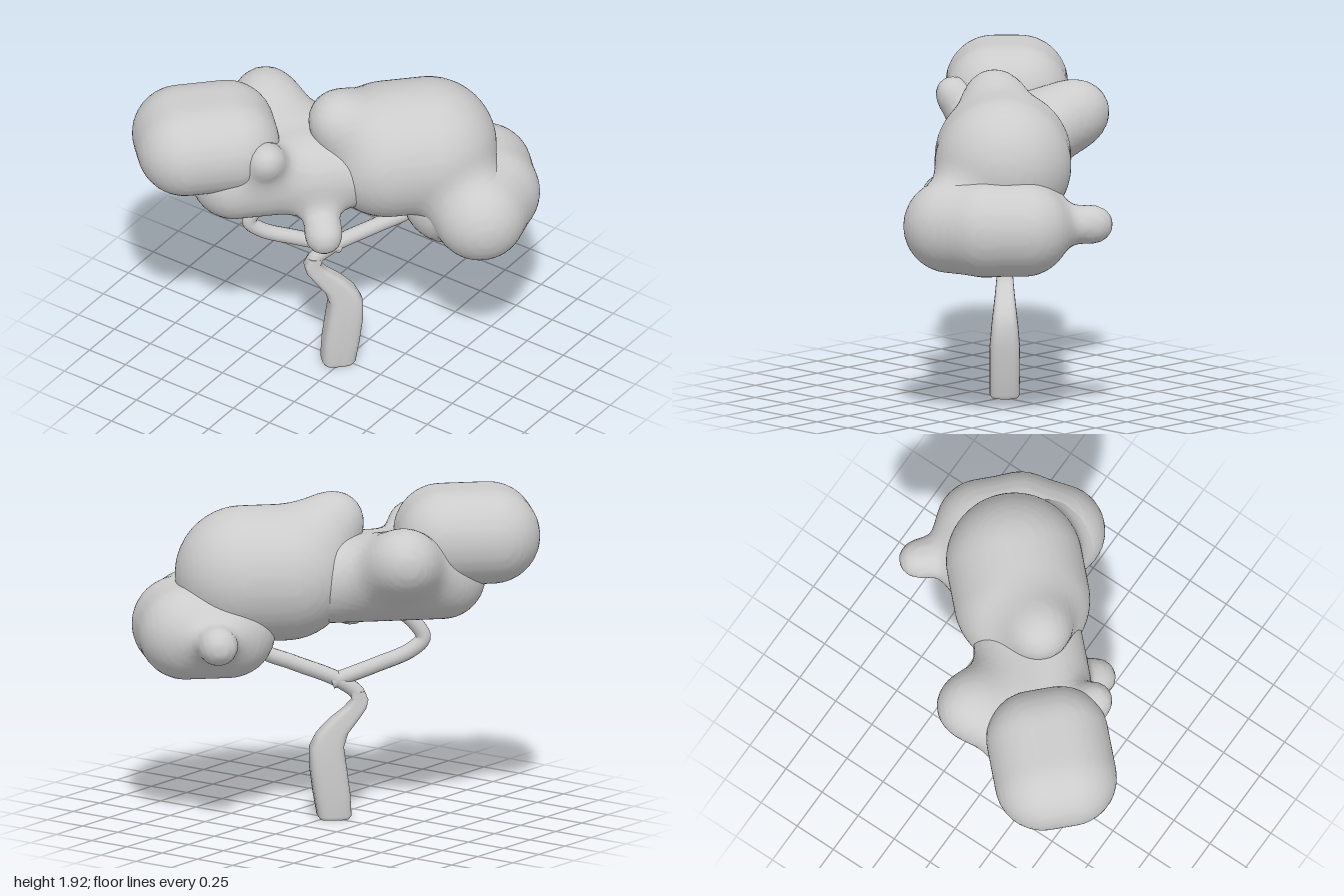
import * as THREE from 'three';

const material = new THREE.MeshStandardMaterial({ color: 0xcccccc });
const CELL = 0.028;

// Distance to a flat rounded slab: centre p, half sizes hu/hv, radius r, turned by yaw
function slabDistance(x, y, z, { p, r, hu = 0, hv = 0, yaw = 0 }) {
  const dx = x - p[0], dy = y - p[1], dz = z - p[2];
  const c = Math.cos(yaw), s = Math.sin(yaw);
  const u = Math.max(Math.abs(dx * c + dz * s) - hu, 0);
  const v = Math.max(Math.abs(dz * c - dx * s) - hv, 0);
  return Math.hypot(u, dy, v) - r;
}

// Blobs melt into each other over the distance k
function blend(a, b, k = 0.14) {
  const h = Math.max(k - Math.abs(a - b), 0) / k;
  return Math.min(a, b) - h * h * k * 0.25;
}

// Skin over a cluster of melted blobs, found cell by cell on a grid
function foliage(name, blobs) {
  const field = (x, y, z) =>
    blobs.reduce((d, b) => blend(d, slabDistance(x, y, z, b), b.k), Infinity);
  const box = new THREE.Box3();
  for (const { p, r, hu = 0, hv = 0 } of blobs) {
    const centre = new THREE.Vector3(...p);
    const reach = r + Math.hypot(hu, hv) + 0.1;
    box.expandByPoint(centre.clone().addScalar(reach)).expandByPoint(centre.subScalar(reach));
  }
  const origin = box.min.toArray();
  const n = box.getSize(new THREE.Vector3()).toArray().map((s) => Math.ceil(s / CELL));
  const stride = [1, n[0], n[0] * n[1]];
  const values = new Float32Array(n[0] * n[1] * n[2]);
  const eachCell = (visit) => {
    for (let k = 0; k < n[2]; k++)
      for (let j = 0; j < n[1]; j++)
        for (let i = 0; i < n[0]; i++) visit([i, j, k], i + j * stride[1] + k * stride[2]);
  };
  eachCell((g, id) => {
    values[id] = field(...g.map((v, a) => origin[a] + v * CELL));
  });

  // One point per crossed cell: the mean of its edge crossings
  const points = [], pointOf = new Map();
  eachCell((g, id) => {
    if (g.some((v, a) => v === n[a] - 1)) return;
    const sum = [0, 0, 0];
    let hits = 0;
    for (let a = 0; a < 8; a++) {
      const bits = [a & 1, (a >> 1) & 1, a >> 2];
      const va = values[id + bits[0] + bits[1] * stride[1] + bits[2] * stride[2]];
      for (let axis = 0; axis < 3; axis++) {
        if (bits[axis]) continue;
        const vb = values[id + bits[0] + bits[1] * stride[1] + bits[2] * stride[2] + stride[axis]];
        if (va < 0 === vb < 0) continue;
        hits++;
        for (let c = 0; c < 3; c++) sum[c] += bits[c] + (c === axis ? va / (va - vb) : 0);
      }
    }
    if (!hits) return;
    pointOf.set(id, points.length / 3);
    points.push(...sum.map((s, c) => origin[c] + (g[c] + s / hits) * CELL));
  });

  // One quad around every crossed grid edge
  const index = [];
  eachCell((g, id) => {
    for (let axis = 0; axis < 3; axis++) {
      const inside = values[id] < 0;
      if (g[axis] === n[axis] - 1 || inside === values[id + stride[axis]] < 0) continue;
      const p = stride[(axis + 1) % 3], q = stride[(axis + 2) % 3];
      const [a, b, c, d] = [id - p - q, id - q, id, id - p].map((cell) => pointOf.get(cell));
      index.push(...(inside ? [a, b, c, a, c, d] : [a, c, b, a, d, c]));
    }
  });

  const geometry = new THREE.BufferGeometry();
  geometry.setAttribute('position', new THREE.Float32BufferAttribute(points, 3));
  geometry.setIndex(index);
  geometry.computeVertexNormals();
  const mesh = new THREE.Mesh(geometry, material);
  mesh.name = name;
  return mesh;
}

// Squarish trunk: a cylinder whose rings follow [y, offset, half width, half depth]
function trunk() {
  const rings = [
    [0, -0.035, 0.085, 0.075], [0.02, -0.035, 0.097, 0.087], [0.15, -0.02, 0.105, 0.087],
    [0.3, 0, 0.105, 0.087], [0.42, 0.008, 0.097, 0.077], [0.5, -0.025, 0.09, 0.067],
    [0.58, -0.095, 0.083, 0.057], [0.64, -0.155, 0.065, 0.05], [0.69, -0.185, 0.047, 0.046],
    [0.74, -0.165, 0.043, 0.043],
  ];
  const last = rings.length - 1;
  const geometry = new THREE.CylinderGeometry(1, 1, 1, 32, last);
  const pos = geometry.attributes.position;
  const square = (n) => Math.sign(n) * Math.abs(n) ** 0.55;
  for (let i = 0; i < pos.count; i++) {
    const [y, offset, w, d] = rings[Math.round((pos.getY(i) + 0.5) * last)];
    pos.setXYZ(i, offset + w * square(pos.getX(i)), y, d * square(pos.getZ(i)) - 0.01);
  }
  geometry.computeVertexNormals();
  const mesh = new THREE.Mesh(geometry, material);
  mesh.name = 'trunk';
  return mesh;
}

function branch(name, points) {
  const curve = new THREE.CatmullRomCurve3(points.map(([u, y]) => new THREE.Vector3(u, y, -0.01)));
  const mesh = new THREE.Mesh(new THREE.TubeGeometry(curve, 48, 0.044, 14), material);
  mesh.name = name;
  return mesh;
}

export function createModel() {
  // The tree is laid out along x, then turned onto the diagonal
  const tree = new THREE.Group();
  tree.name = 'tree';
  tree.rotation.y = Math.PI / 4;

  tree.add(
    trunk(),
    branch('longBranch', [[-0.18, 0.67], [-0.175, 0.72], [-0.06, 0.81], [0.2, 0.92], [0.38, 1.0], [0.42, 1.09], [0.39, 1.25]]),
    branch('forkBranch', [[-0.02, 0.8], [-0.28, 0.89], [-0.48, 0.97], [-0.55, 1.04], [-0.5, 1.13], [-0.36, 1.25]]),

    foliage('upperFoliage', [
      { p: [-0.8, 1.645, -0.02], r: 0.275, hu: 0.135, hv: 0.075 },
    ]),
    foliage('middleFoliage', [
      { p: [-0.25, 1.415, -0.007], r: 0.25, hu: 0.4, hv: 0.06 },
      { p: [-0.38, 1.59, -0.43], r: 0.175, k: 0.35 },
      { p: [-0.505, 1.675, 0.293], r: 0.09, k: 0.22 },
      { p: [-0.184, 1.145, 0.36], r: 0.105, k: 0.2 },
    ]),
    foliage('largeFoliage', [
      { p: [0.368, 1.45, 0], r: 0.39, hu: 0.12 },
      { p: [-0.045, 1.73, 0.05], r: 0.168, k: 0.18 },
      { p: [0.72, 1.145, 0.3], r: 0.26 },
    ]),
    foliage('lowerFoliage', [
      { p: [0.715, 1.145, -0.01], r: 0.268, hu: 0.125, hv: 0.11 },
      { p: [0.785, 1.145, 0.2], r: 0.268, hu: 0.114, yaw: 2.07, k: 0.02 },
      { p: [0.707, 1.15, -0.523], r: 0.105, k: 0.2 },
    ]),
  );

  const model = new THREE.Group();
  model.name = 'cloudTree';
  model.add(tree);
  return model;
}
